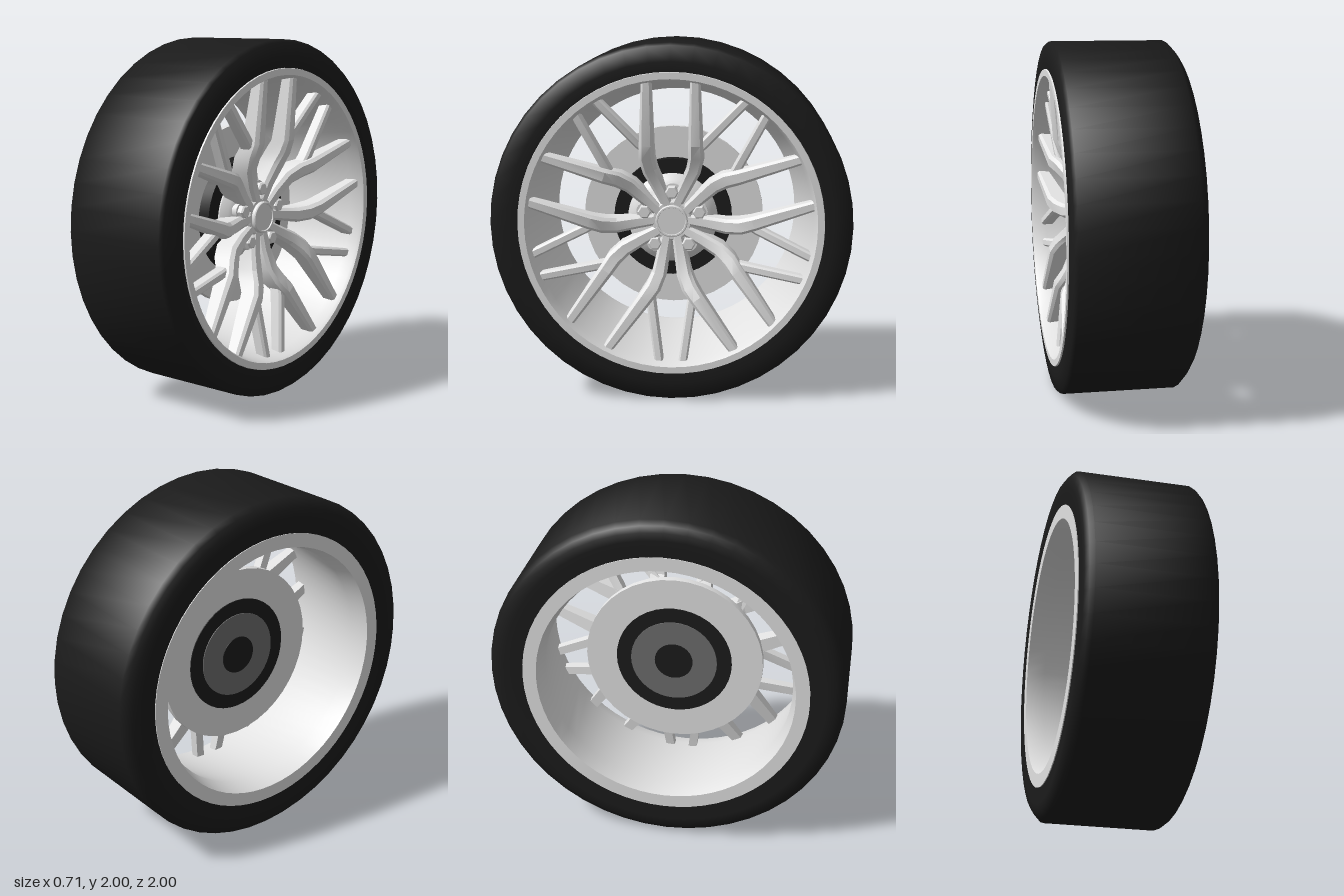
import * as THREE from 'three';
import { toCreasedNormals } from 'three/addons/utils/BufferGeometryUtils.js';

const mat = (name, color) => {
  const m = new THREE.MeshStandardMaterial({ color });
  m.name = name;
  return m;
};

// Turned part around the x axis; profile points are [radius, x], outer side running towards +x
function turned(name, profile, material, segments = 48, crease = 0.5) {
  const pts = profile.map(([r, x]) => new THREE.Vector2(r, x));
  const geo = new THREE.LatheGeometry(pts, segments);
  geo.rotateZ(-Math.PI / 2);
  const mesh = new THREE.Mesh(toCreasedNormals(geo, crease), material);
  mesh.name = name;
  return mesh;
}

// Solid disc from x0 to x1
const disc = (name, r, x0, x1, material, segments = 48) =>
  turned(name, [[0, x0], [r, x0], [r, x1], [0, x1]], material, segments);

// Bar lofted through stations [z, y, front x, half width, depth], with a bevelled front
function spokeGeometry(stations, side) {
  const path = stations.map(([z, y]) => new THREE.Vector2(y, z * side));
  const pos = [];
  const index = [];
  const last = stations.length - 1;
  stations.forEach(([, , front, w, depth], i) => {
    const t = path[Math.min(i + 1, last)].clone().sub(path[Math.max(i - 1, 0)]).normalize();
    const bevel = w * 0.5;
    const section = [
      [-w, front - depth], [w, front - depth], [w, front - bevel],
      [w * 0.6, front], [-w * 0.6, front], [-w, front - bevel],
    ];
    for (const [n, x] of section) pos.push(x, path[i].x - t.y * n, path[i].y + t.x * n);
  });
  for (let i = 0; i < last; i++) {
    for (let j = 0; j < 6; j++) {
      const a = i * 6 + j, b = i * 6 + (j + 1) % 6;
      index.push(a, b, b + 6, a, b + 6, a + 6);
    }
  }
  for (let j = 1; j < 5; j++) {
    index.push(0, j + 1, j, last * 6, last * 6 + j, last * 6 + j + 1);
  }
  const geo = new THREE.BufferGeometry();
  geo.setAttribute('position', new THREE.Float32BufferAttribute(pos, 3));
  geo.setIndex(index);
  return toCreasedNormals(geo, 0.3);
}

export function createModel() {
  const rubber = mat('tyre rubber', 0x1b1b1b);
  const silver = mat('silver alloy', 0xe2e2e2);
  const black = mat('drum black', 0x1c1c1c);
  const grey = mat('bearing grey', 0x6e6e6e);

  const wheel = new THREE.Group();
  wheel.name = 'wheel';

  // Tyre
  wheel.add(turned('tyre', [
    [0.795, -0.35], [0.9, -0.355], [0.945, -0.353], [0.975, -0.332], [1, -0.308],
    [1, 0.318], [0.985, 0.338], [0.9, 0.35], [0.84, 0.345], [0.83, 0.3], [0.795, -0.35],
  ], rubber, 48, 0.9));

  // Rim with lip and tapered barrel
  wheel.add(turned('rim', [
    [0.728, -0.356], [0.806, -0.356], [0.8, -0.3], [0.82, 0.3], [0.846, 0.34], [0.843, 0.354],
    [0.806, 0.354], [0.797, 0.335], [0.785, 0.27], [0.703, -0.25], [0.728, -0.356],
  ], silver, 64));

  // Brake disc, drum and bearing
  wheel.add(turned('brakeDisc', [
    [0.2, -0.03], [0.513, -0.03], [0.513, 0.01], [0.2, 0.01], [0.2, -0.03],
  ], silver, 40));
  wheel.add(disc('brakeDrum', 0.335, -0.036, 0.08, black, 40));
  wheel.add(disc('bearingPlate', 0.25, -0.041, -0.034, grey, 40));
  wheel.add(disc('axleEnd', 0.11, -0.046, -0.038, black, 32));

  // Hub and centre cap
  wheel.add(turned('hub', [
    [0, 0.06], [0.25, 0.06], [0.255, 0.09], [0.225, 0.125], [0.19, 0.148], [0.12, 0.165],
    [0.105, 0.19], [0, 0.19],
  ], silver, 48, 0.8));
  wheel.add(turned('centreCap', [
    [0, 0.15], [0.09, 0.15], [0.09, 0.208], [0.086, 0.214], [0.078, 0.214], [0.076, 0.207], [0, 0.207],
  ], silver, 40));

  // Five sectors, each with two main spokes and two thinner branches
  const mainPath = [
    [0.03, 0.08, 0.19, 0.03, 0.09],
    [0.05, 0.19, 0.202, 0.036, 0.11],
    [0.07, 0.3, 0.232, 0.042, 0.13],
    [0.1, 0.37, 0.268, 0.044, 0.13],
    [0.145, 0.43, 0.297, 0.041, 0.11],
    [0.355, 0.715, 0.32, 0.028, 0.07],
  ];
  const branchPath = [
    [0.13, 0.37, 0.235, 0.026, 0.07],
    [0.112, 0.47, 0.262, 0.026, 0.07],
    [0.068, 0.792, 0.298, 0.025, 0.065],
  ];
  const spokeShapes = [1, -1].flatMap((s) => [
    ['mainSpoke', spokeGeometry(mainPath, s)],
    ['branchSpoke', spokeGeometry(branchPath, s)],
  ]);
  for (let k = 0; k < 5; k++) {
    const angle = (k * 2 * Math.PI) / 5;
    const sector = new THREE.Group();
    sector.name = 'spokeSector';
    sector.rotation.x = Math.PI + angle;
    for (const [name, geo] of spokeShapes) {
      const spoke = new THREE.Mesh(geo, silver);
      spoke.name = name;
      sector.add(spoke);
    }
    wheel.add(sector);

    // Wheel nut on its seat, between two spoke pairs
    const nut = new THREE.Group();
    nut.name = 'wheelNut';
    const seat = disc('nutSeat', 0.047, 0.1, 0.168, silver, 24);
    const hex = turned('nutHead', [
      [0, 0.14], [0.039, 0.14], [0.039, 0.195], [0.031, 0.204], [0, 0.204],
    ], silver, 6);
    nut.add(seat, hex);
    nut.position.set(0, 0.162 * Math.cos(angle), 0.162 * Math.sin(angle));
    wheel.add(nut);
  }

  // Stand the wheel on the ground
  wheel.position.y = 1;
  const model = new THREE.Group();
  model.name = 'wheelAssembly';
  model.add(wheel);
  return model;
}
